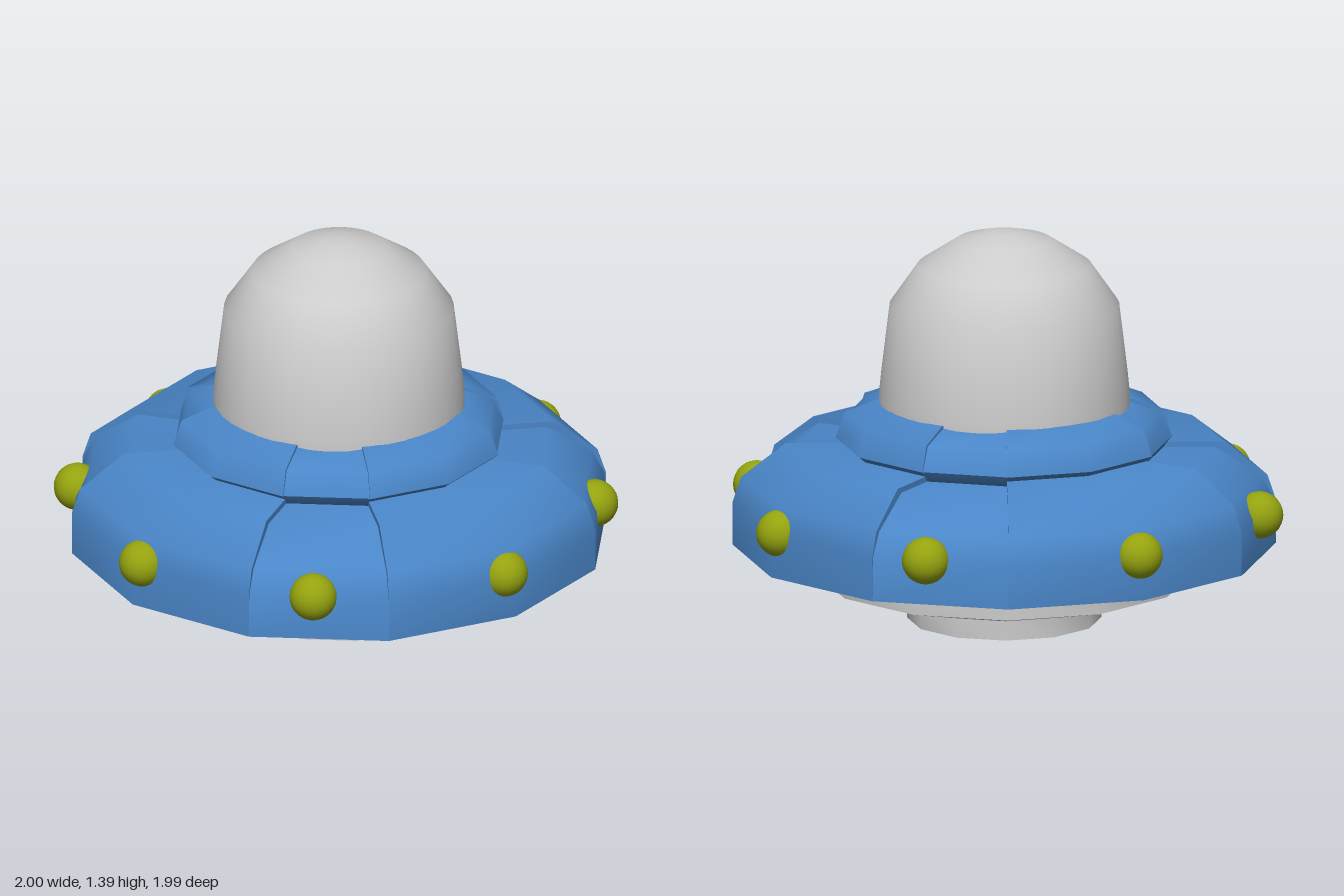
import * as THREE from 'three';
import { toCreasedNormals } from 'three/addons/utils/BufferGeometryUtils.js';

const STEP = Math.PI / 6; // twelve-sided hull
const grey = new THREE.MeshStandardMaterial({ color: 0xcccccc });
const blue = new THREE.MeshStandardMaterial({ color: 0x4a86c8 });
const olive = new THREE.MeshStandardMaterial({ color: 0x95a30f });

// Closed sector: an [r, y] profile (inner bottom, outer, inner top) swept through the angles
function sector(profile, angles) {
  const pos = [], index = [], n = profile.length;
  for (const a of angles)
    for (const [r, y] of profile) pos.push(r * Math.sin(a), y, r * Math.cos(a));
  for (let i = 0; i < angles.length - 1; i++)
    for (let j = 0; j < n - 1; j++) {
      const p = i * n + j, q = p + n;
      index.push(p, q, q + 1, p, q + 1, p + 1);
    }
  const end = (angles.length - 1) * n;
  for (let k = 1; k < n - 1; k++) index.push(0, k, k + 1, end, end + k + 1, end + k);
  const g = new THREE.BufferGeometry();
  g.setAttribute('position', new THREE.Float32BufferAttribute(pos, 3));
  g.setIndex(index);
  return toCreasedNormals(g, 1.0);
}

function lathe(points, sides, crease) {
  const g = new THREE.LatheGeometry(points.map(([r, y]) => new THREE.Vector2(r, y)), sides);
  return toCreasedNormals(g, crease);
}

export function createModel() {
  const model = new THREE.Group();
  const add = (name, geometry, material) => {
    const mesh = new THREE.Mesh(geometry, material);
    mesh.name = name;
    model.add(mesh);
    return mesh;
  };

  // Four wide hull panels with four slightly sunken narrow ones between them
  const widePanel = sector([[0.01, 0.21], [0.62, 0.21], [0.95, 0.265], [0.95, 0.42],
    [0.92, 0.51], [0.765, 0.63], [0.01, 0.63]], [-STEP, 0, STEP]);
  const narrowPanel = sector([[0.01, 0.21], [0.62, 0.215], [0.8, 0.28], [0.95, 0.265], [0.945, 0.42],
    [0.9, 0.505], [0.74, 0.61], [0.01, 0.61]], [STEP, 2 * STEP]);

  // The collar under the dome repeats the same division
  const wideCollar = sector([[0.01, 0.62], [0.56, 0.625], [0.59, 0.65], [0.56, 0.74],
    [0.45, 0.785], [0.01, 0.785]], [-STEP, 0, STEP]);
  const narrowCollar = sector([[0.01, 0.6], [0.555, 0.61], [0.585, 0.65], [0.55, 0.735],
    [0.44, 0.775], [0.01, 0.775]], [STEP, 2 * STEP]);

  for (let i = 0; i < 4; i++) {
    const parts = { wideHullPanel: widePanel, narrowHullPanel: narrowPanel,
      wideCollarPanel: wideCollar, narrowCollarPanel: narrowCollar };
    for (const [name, geometry] of Object.entries(parts))
      add(name, geometry, blue).rotation.y = i * Math.PI / 2;
  }

  // Glass dome
  add('dome', lathe([[0.44, 0.77], [0.44, 0.8], [0.432, 0.88], [0.402, 1.13], [0.305, 1.27],
    [0.165, 1.362], [0.06, 1.39], [0, 1.395]], 40, 1.0), grey);

  // Thruster plate with a hub and a central hole
  add('thrusterBase', lathe([[0.12, 0.21], [0.12, 0], [0.34, 0], [0.34, 0.07],
    [0.65, 0.15], [0.65, 0.21], [0.12, 0.21]], 12, 0.9), grey);

  // Ring of eight rim lights
  const bulb = new THREE.SphereGeometry(0.083, 24, 16);
  const spots = [[-0.015, 0.905], [0.62, 0.65], [0.915, 0], [0.68, -0.6],
    [0, -0.917], [-0.66, -0.635], [-0.917, 0.015], [-0.655, 0.625]];
  for (const [x, z] of spots) add('rimLight', bulb, olive).position.set(x, 0.42, z);

  return model;
}
